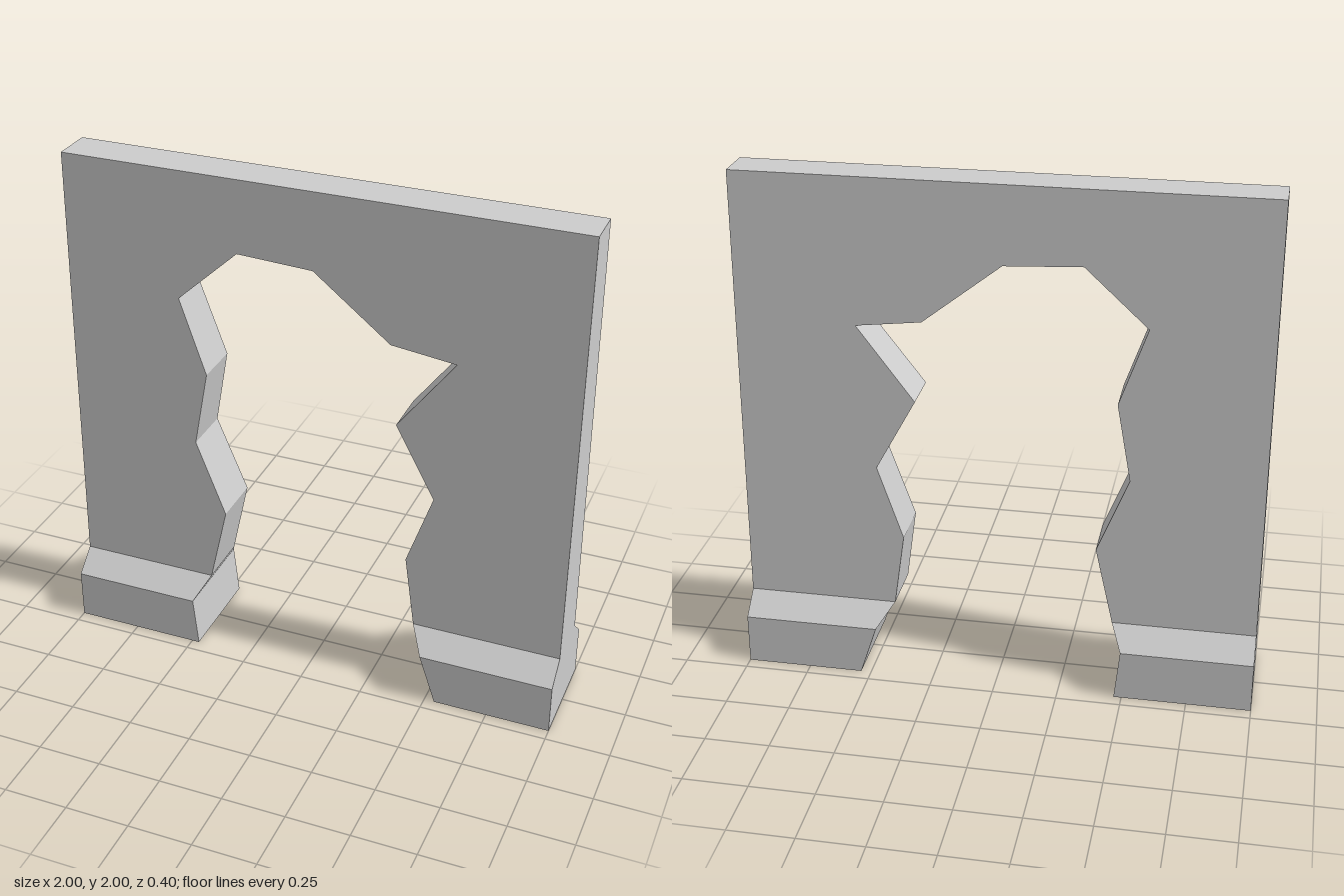
import * as THREE from 'three';

const PLINTH_TOP = 0.2, CHAMFER_TOP = 0.28;

// Half thickness of the wall at height y
function halfDepth(y) {
  if (y <= PLINTH_TOP) return 0.2;
  if (y <= CHAMFER_TOP) return THREE.MathUtils.mapLinear(y, PLINTH_TOP, CHAMFER_TOP, 0.2, 0.11);
  return THREE.MathUtils.mapLinear(y, CHAMFER_TOP, 2, 0.11, 0.08);
}

// Solid slab from a counter-clockwise outline, tapering in depth with height.
// Rim faces are left out where two sections meet.
function section(name, outline, material) {
  const points = outline.map(([x, y]) => new THREE.Vector2(x, y));
  const positions = [];
  const add = (p, side) => positions.push(p.x, p.y, side * halfDepth(p.y));

  for (const [a, b, c] of THREE.ShapeUtils.triangulateShape(points, [])) {
    for (const i of [a, b, c]) add(points[i], 1);
    for (const i of [a, c, b]) add(points[i], -1);
  }
  points.forEach((a, i) => {
    const b = points[(i + 1) % points.length];
    if (a.y === b.y && (a.y === PLINTH_TOP || a.y === CHAMFER_TOP)) return;
    add(a, 1); add(a, -1); add(b, -1);
    add(a, 1); add(b, -1); add(b, 1);
  });

  const geometry = new THREE.BufferGeometry();
  geometry.setAttribute('position', new THREE.Float32BufferAttribute(positions, 3));
  geometry.computeVertexNormals();
  const mesh = new THREE.Mesh(geometry, material);
  mesh.name = name;
  return mesh;
}

export function createModel() {
  const group = new THREE.Group();
  group.name = 'brokenWall';
  const stone = new THREE.MeshStandardMaterial({ color: 0xcccccc });
  stone.name = 'pale grey stone';

  // Jagged edge of the opening, from the right foot over the top to the left foot
  const opening = [
    [-0.445, 0.28], [-0.375, 0.59], [-0.495, 0.89], [-0.44, 1.195], [-0.545, 1.495],
    [-0.305, 1.715], [-0.01, 1.7], [0.29, 1.465], [0.54, 1.435], [0.32, 1.145],
    [0.475, 0.86], [0.375, 0.57], [0.415, 0.28],
  ];
  group.add(section('wall', [[-1, 0.28], ...opening, [1, 0.28], [1, 2], [-1, 2]], stone));

  // Plinths and the sloped ledges above them
  group.add(section('rightPlinth', [[-1, 0], [-0.47, 0], [-0.49, 0.2], [-1, 0.2]], stone));
  group.add(section('rightLedge', [[-1, 0.2], [-0.49, 0.2], [-0.445, 0.28], [-1, 0.28]], stone));
  group.add(section('leftPlinth', [[0.54, 0], [1, 0], [1, 0.2], [0.475, 0.2]], stone));
  group.add(section('leftLedge', [[0.475, 0.2], [1, 0.2], [1, 0.28], [0.415, 0.28]], stone));

  return group;
}
